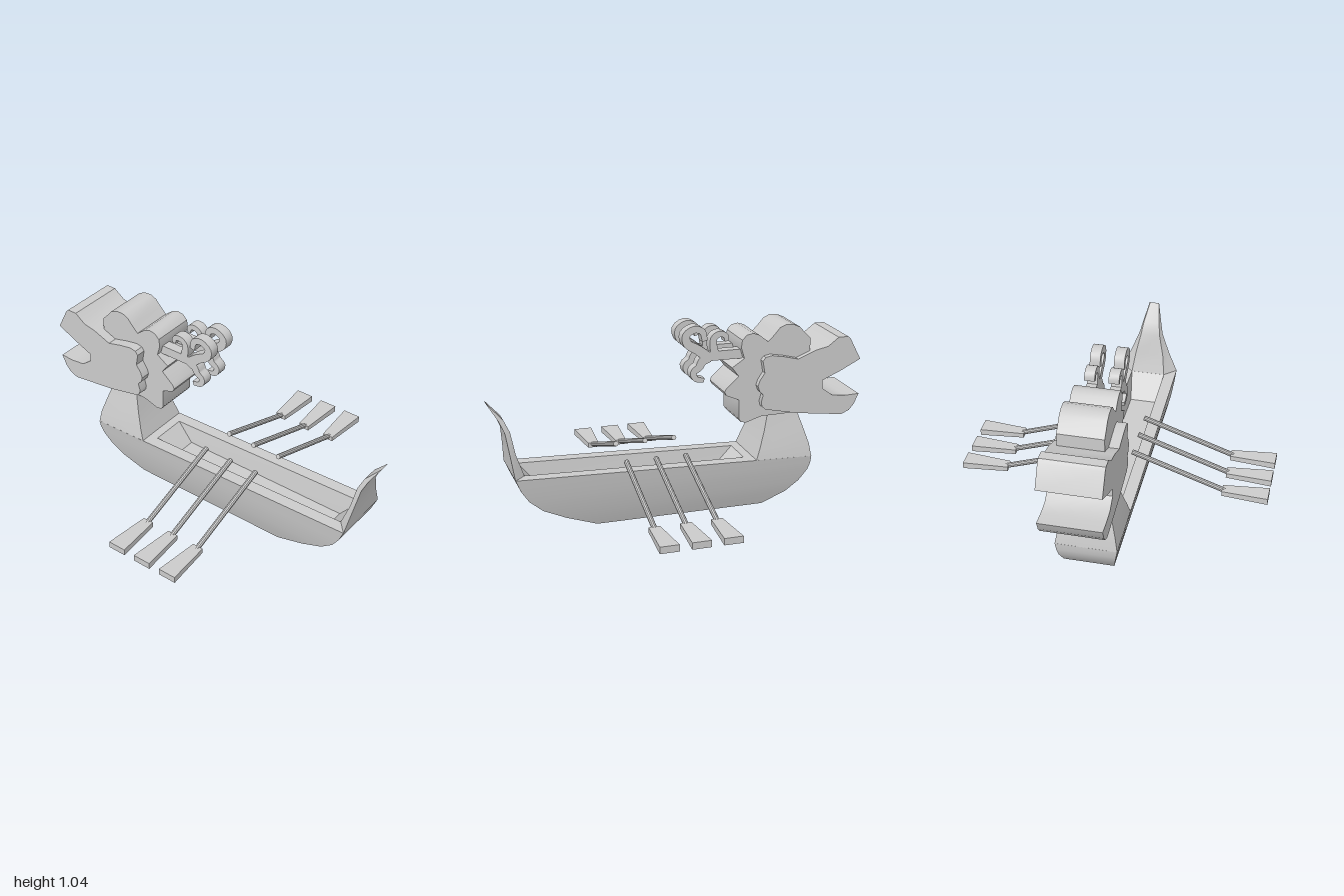
import * as THREE from 'three';
import { toCreasedNormals } from 'three/addons/utils/BufferGeometryUtils.js';

const material = new THREE.MeshStandardMaterial({ color: 0xcccccc });
const CREASE = 0.6;

function addMesh(parent, name, geometry, x = 0, y = 0, z = 0) {
  const mesh = new THREE.Mesh(geometry, material);
  mesh.name = name;
  mesh.position.set(x, y, z);
  parent.add(mesh);
  return mesh;
}

// Four-cornered rings [bow x, y, half width, stern x, y, half width], joined and capped
function loft(rings) {
  const corners = rings.map(([x0, y0, h0, x1, y1, h1]) =>
    [[x0, y0, h0], [x1, y1, h1], [x1, y1, -h1], [x0, y0, -h0]]);
  const pos = [];
  const quad = (a, b, c, d) => pos.push(...a, ...b, ...c, ...a, ...c, ...d);
  for (let r = 0; r < corners.length - 1; r++) {
    const lo = corners[r], hi = corners[r + 1];
    for (let i = 0; i < 4; i++) {
      const j = (i + 1) % 4;
      quad(lo[i], lo[j], hi[j], hi[i]);
    }
  }
  quad(...corners[0].slice().reverse());
  quad(...corners[corners.length - 1]);
  const geometry = new THREE.BufferGeometry();
  geometry.setAttribute('position', new THREE.Float32BufferAttribute(pos, 3));
  return toCreasedNormals(geometry, CREASE);
}

// Side outline given thickness, centred on z = 0
function slab(points, depth) {
  const shape = new THREE.Shape(points.map(([x, y]) => new THREE.Vector2(x, y)));
  const geometry = new THREE.ExtrudeGeometry(shape, { depth, bevelEnabled: false });
  geometry.translate(0, 0, -depth / 2);
  return toCreasedNormals(geometry, CREASE);
}

// Tapering strip along a curved centre line
function strip(path, w0, w1, depth) {
  const curve = new THREE.CatmullRomCurve3(path.map(([x, y]) => new THREE.Vector3(x, y, 0)));
  const left = [], right = [], n = 18;
  for (let i = 0; i <= n; i++) {
    const p = curve.getPoint(i / n), t = curve.getTangent(i / n);
    const w = THREE.MathUtils.lerp(w0, w1, i / n) / 2;
    left.push([p.x - t.y * w, p.y + t.x * w]);
    right.unshift([p.x + t.y * w, p.y - t.x * w]);
  }
  return slab([...left, ...right], depth);
}

function createOar() {
  const oar = new THREE.Group();
  const from = new THREE.Vector3(0, 0.37, 0.1), to = new THREE.Vector3(0, 0.19, 0.62);
  const dir = to.clone().sub(from);
  const shaft = addMesh(oar, 'oarShaft',
    toCreasedNormals(new THREE.CylinderGeometry(0.014, 0.014, dir.length(), 10), CREASE));
  shaft.position.copy(from).add(to).multiplyScalar(0.5);
  shaft.quaternion.setFromUnitVectors(new THREE.Vector3(0, 1, 0), dir.normalize());

  // Blade widens toward its outer end
  const blade = new THREE.BoxGeometry(0.1, 0.036, 0.25);
  const p = blade.attributes.position;
  for (let i = 0; i < p.count; i++) {
    if (p.getZ(i) < 0) { p.setX(i, p.getX(i) * 0.6); p.setY(i, p.getY(i) * 0.75); }
  }
  addMesh(oar, 'oarBlade', toCreasedNormals(blade, 0.3), 0, 0.192, 0.72);
  return oar;
}

export function createModel() {
  const model = new THREE.Group();
  model.name = 'dragonBoat';

  // Hull: outer skin, rim, then down into the open well
  const hullZ = 0.014;
  addMesh(model, 'hull', loft([
    [-0.48, 0, 0.095, 0.45, 0, 0.095],
    [-0.61, 0.065, 0.117, 0.62, 0.065, 0.117],
    [-0.68, 0.125, 0.132, 0.745, 0.125, 0.132],
    [-0.725, 0.19, 0.146, 0.82, 0.19, 0.146],
    [-0.738, 0.23, 0.153, 0.86, 0.25, 0.154],
    [-0.74, 0.27, 0.16, 0.89, 0.32, 0.162],
    [-0.37, 0.282, 0.096, 0.83, 0.318, 0.096],
    [-0.27, 0.19, 0.078, 0.72, 0.19, 0.078],
  ]), 0, 0, hullZ);

  // Neck rising from the bow
  addMesh(model, 'neck', loft([
    [-0.74, 0.268, 0.16, -0.42, 0.278, 0.16],
    [-0.728, 0.34, 0.148, -0.443, 0.34, 0.148],
    [-0.70, 0.43, 0.125, -0.475, 0.43, 0.125],
    [-0.655, 0.56, 0.095, -0.51, 0.56, 0.095],
  ]), 0, 0, hullZ);

  // Curved tail at the stern
  addMesh(model, 'tail', loft([
    [0.83, 0.316, 0.096, 0.89, 0.32, 0.162],
    [0.868, 0.43, 0.08, 0.902, 0.43, 0.112],
    [0.888, 0.545, 0.055, 0.917, 0.545, 0.068],
    [0.918, 0.61, 0.045, 0.945, 0.61, 0.052],
    [0.993, 0.695, 0.026, 1, 0.7, 0.028],
  ]), 0, 0, hullZ);

  // Head: wide open-mouthed face over a narrower scalloped mane
  const head = new THREE.Group();
  head.name = 'head';
  model.add(head);
  addMesh(head, 'face', slab([
    [-1, 0.8], [-0.94, 0.915], [-0.925, 0.93], [-0.87, 0.93], [-0.81, 0.885], [-0.74, 0.87],
    [-0.64, 0.83], [-0.56, 0.85], [-0.49, 0.862], [-0.455, 0.855], [-0.44, 0.835], [-0.452, 0.77],
    [-0.425, 0.73], [-0.415, 0.70], [-0.425, 0.67], [-0.445, 0.65], [-0.435, 0.61], [-0.44, 0.585],
    [-0.46, 0.568], [-0.64, 0.53], [-0.9, 0.497], [-0.945, 0.515], [-0.975, 0.55], [-1, 0.605],
    [-0.92, 0.602], [-0.845, 0.61], [-0.785, 0.655], [-0.785, 0.70], [-0.89, 0.745],
  ], 0.32), 0, 0, 0.002);
  addMesh(head, 'mane', slab([
    [-0.72, 0.85], [-0.72, 0.93], [-0.69, 0.96], [-0.66, 0.995], [-0.62, 1.013], [-0.58, 1.015],
    [-0.545, 1.0], [-0.515, 0.965], [-0.48, 0.93], [-0.43, 0.97], [-0.395, 0.982], [-0.36, 0.975],
    [-0.335, 0.95], [-0.33, 0.91], [-0.348, 0.85], [-0.28, 0.805], [-0.318, 0.755], [-0.25, 0.695],
    [-0.24, 0.675], [-0.25, 0.655], [-0.32, 0.625], [-0.322, 0.52], [-0.335, 0.5], [-0.365, 0.495],
    [-0.45, 0.522], [-0.68, 0.525], [-0.72, 0.6],
  ], 0.235), 0, 0, -0.008);

  // Pair of curled, branching antlers
  for (const side of [-1, 1]) {
    const antler = new THREE.Group();
    antler.name = side > 0 ? 'antlerFront' : 'antlerBack';
    antler.position.z = -0.009 + side * 0.062;
    head.add(antler);
    const d = 0.054;
    addMesh(antler, 'antlerStem', slab([[-0.37, 0.845], [-0.34, 0.895], [-0.15, 0.895], [-0.13, 0.845]], d));
    addMesh(antler, 'frontCurl', strip([[-0.2, 0.865], [-0.187, 0.915], [-0.188, 0.965],
      [-0.218, 0.985], [-0.252, 0.975], [-0.26, 0.945]], 0.045, 0.024, d));
    addMesh(antler, 'topCurl', strip([[-0.16, 0.862], [-0.1, 0.91], [-0.045, 0.945], [-0.035, 0.99],
      [-0.08, 1.02], [-0.125, 1.005], [-0.138, 0.955]], 0.055, 0.03, d));
    addMesh(antler, 'lowerCurl', strip([[-0.16, 0.865], [-0.125, 0.845], [-0.108, 0.815],
      [-0.077, 0.79], [-0.088, 0.755], [-0.135, 0.742]], 0.055, 0.024, d));
  }

  // Three oars on each side
  for (const x of [-0.033, 0.13, 0.293]) {
    for (const side of [1, -1]) {
      const oar = createOar();
      oar.name = side > 0 ? 'frontOar' : 'backOar';
      oar.position.set(x, side > 0 ? 0 : -0.03, 0);
      if (side < 0) oar.rotation.y = Math.PI;
      model.add(oar);
    }
  }
  return model;
}
